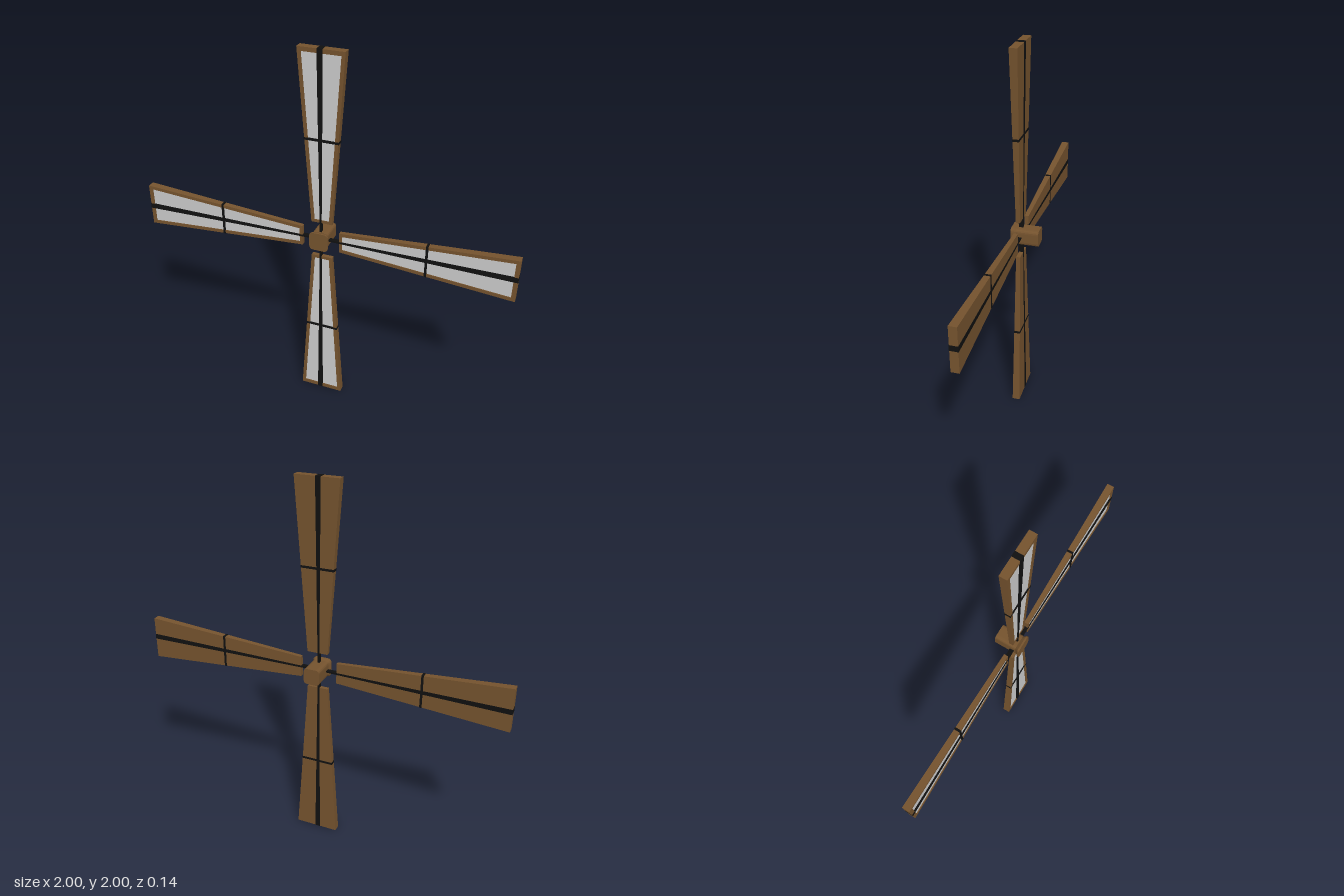
import * as THREE from 'three';

const wood = new THREE.MeshStandardMaterial({ color: 0x75532e, flatShading: true });
const dark = new THREE.MeshStandardMaterial({ color: 0x101010, flatShading: true });
const cloth = new THREE.MeshStandardMaterial({ color: 0xcccccc, flatShading: true });

const R0 = 0.1, R1 = 1, MID_Z = 0.025;
// half width and half thickness of a blade at distance r from the hub
const halfWidth = (r) => 0.056 + ((r - R0) / (R1 - R0)) * 0.061;
const halfThick = (r) => 0.011 + ((r - R0) / (R1 - R0)) * 0.009;

function mesh(name, geometry, material) {
  const m = new THREE.Mesh(geometry, material);
  m.name = name;
  return m;
}

// trapezoid outline of the blade, moved in from its sides and ends
function outline(Type, side, inner, outer) {
  const a = R0 + inner, b = R1 - outer;
  const wa = halfWidth(a) - side, wb = halfWidth(b) - side;
  return new Type([[-wa, a], [wa, a], [wb, b], [-wb, b]].map(([x, y]) => new THREE.Vector2(x, y)));
}

// slab from a shape; z0 and z1 are fractions of the local half thickness
function slab(shape, z0, z1) {
  const g = new THREE.ExtrudeGeometry(shape, { depth: z1 - z0, bevelEnabled: false });
  g.translate(0, 0, z0);
  const p = g.attributes.position;
  for (let i = 0; i < p.count; i++) p.setZ(i, p.getZ(i) * halfThick(p.getY(i)));
  g.computeVertexNormals();
  return g;
}

// spoke that widens outwards and shows on both faces of the blade
function spokeGeometry() {
  const g = new THREE.BoxGeometry(2, 1.002, 2).translate(0, 0.5, 0);
  const p = g.attributes.position;
  for (let i = 0; i < p.count; i++) {
    const outer = p.getY(i) > 0.5;
    p.setX(i, p.getX(i) * (outer ? 0.014 : 0.004));
    p.setZ(i, p.getZ(i) * (outer ? 0.0212 : 0.0112));
  }
  g.computeVertexNormals();
  return g;
}

function blade(offset, lean) {
  const group = new THREE.Group();
  group.name = 'blade';
  const frameShape = outline(THREE.Shape, 0, 0, 0);
  frameShape.holes.push(outline(THREE.Path, 0.018, 0.016, 0.021));
  const sail = new THREE.Group();
  sail.name = 'sail';
  sail.position.x = offset;
  sail.add(
    mesh('frame', slab(frameShape, -0.9, 1), wood),
    mesh('backBoard', slab(outline(THREE.Shape, 0, 0, 0), -1, -0.85), wood),
    mesh('clothPanel', slab(outline(THREE.Shape, 0.016, 0.014, 0.019), -0.8, 0.75), cloth)
  );
  const bar = mesh('crossBar', new THREE.BoxGeometry(2 * halfWidth(0.555) + 0.004, 0.012, 2 * halfThick(0.555) + 0.003), dark);
  bar.position.y = 0.555;
  sail.add(bar);
  const spoke = mesh('spoke', spokeGeometry(), dark);
  spoke.rotation.z = lean;
  group.add(sail, spoke);
  return group;
}

// chamfered square prism along z, with separate back and front half sizes
function prism(back, front, z0, z1, chamfer) {
  const s = new THREE.Shape();
  const c = 1 - chamfer;
  s.moveTo(-c, -1);
  s.lineTo(c, -1).quadraticCurveTo(1, -1, 1, -c);
  s.lineTo(1, c).quadraticCurveTo(1, 1, c, 1);
  s.lineTo(-c, 1).quadraticCurveTo(-1, 1, -1, c);
  s.lineTo(-1, -c).quadraticCurveTo(-1, -1, -c, -1);
  const g = new THREE.ExtrudeGeometry(s, { depth: 1, bevelEnabled: false, curveSegments: 4 });
  const p = g.attributes.position;
  for (let i = 0; i < p.count; i++) {
    const t = p.getZ(i), k = back + (front - back) * t;
    p.setXYZ(i, p.getX(i) * k, p.getY(i) * k, z0 + (z1 - z0) * t);
  }
  g.computeVertexNormals();
  return g;
}

export function createModel() {
  const model = new THREE.Group();
  model.name = 'windmillSails';

  // four blades: top, left, bottom, right
  const offsets = [0.006, 0, -0.006, 0];
  const leans = [0, 0.008, 0, 0.007];
  offsets.forEach((offset, i) => {
    const b = blade(offset, leans[i]);
    b.position.set(0, i % 2 ? 1.003 : 1, MID_Z);
    b.rotation.z = (-i * Math.PI) / 2;
    model.add(b);
  });

  // hub: shaft behind, flared cap in front
  const hub = new THREE.Group();
  hub.name = 'hub';
  hub.position.y = 1.003;
  hub.add(
    mesh('shaft', prism(0.043, 0.043, -0.075, 0.045, 0.45), wood),
    mesh('capFlare', prism(0.036, 0.05, 0.04, 0.06, 0.45), wood),
    mesh('capFace', prism(0.05, 0.05, 0.06, 0.069, 0.45), wood)
  );
  model.add(hub);
  return model;
}
